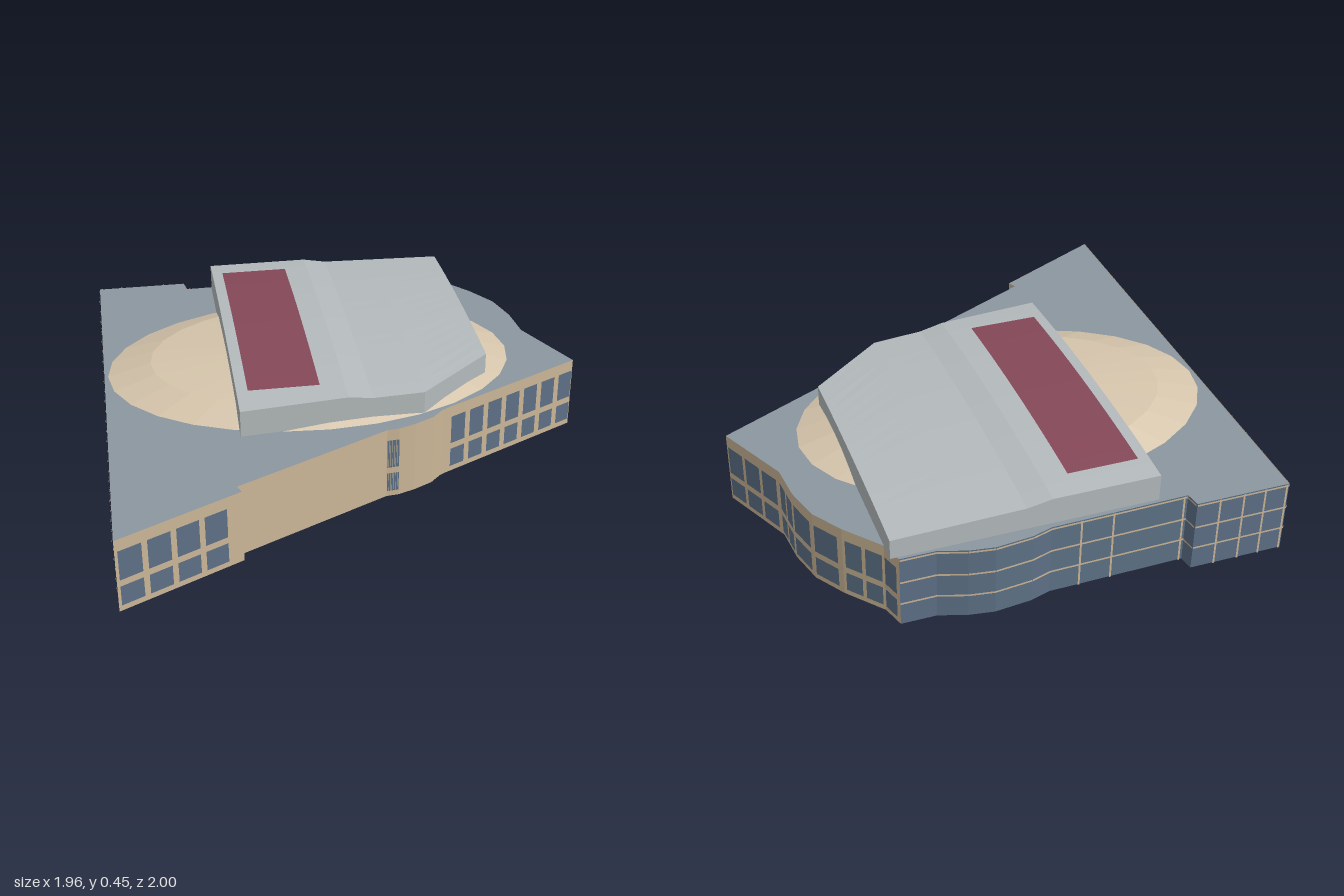
import * as THREE from 'three';

const mat = (name, color, side = THREE.FrontSide) => {
  const m = new THREE.MeshStandardMaterial({ color, side, flatShading: true });
  m.name = name;
  return m;
};
const WALL = 0.31; // wall height

// Flat-shaded geometry from a list of four-cornered faces
function quadGeometry(quads) {
  const pos = [];
  for (const [a, b, c, d] of quads) pos.push(...a, ...b, ...c, ...a, ...c, ...d);
  const g = new THREE.BufferGeometry();
  g.setAttribute('position', new THREE.Float32BufferAttribute(pos, 3));
  g.computeVertexNormals();
  return g;
}

// Upright face on the wall from a to b, between fractions t0..t1 and heights y0..y1
function wallQuad(a, b, t0, t1, y0, y1, out = 0) {
  const dx = b[0] - a[0], dz = b[1] - a[1], len = Math.hypot(dx, dz);
  const p = (t, y) => [a[0] + dx * t - dz / len * out, y, a[1] + dz * t + dx / len * out];
  return [p(t0, y0), p(t1, y0), p(t1, y1), p(t0, y1)];
}
const segments = path => path.slice(1).map((b, i) => [path[i], b]);

// Wall outline as [x, z]: masonry front and right side, then glazed back and left side
const masonryPath = [
  [-0.98, 1], [-0.505, 0.765], [-0.52, 0.73], [0.1, 0.43], [0.15, 0.425], [0.22, 0.4],
  [0.3, 0.36], [0.345, 0.315], [0.37, 0.3], [0.98, 0], [0.835, -0.3], [0.82, -0.45],
  [0.78, -0.59], [0.7, -0.71], [0.58, -0.85], [0.55, -0.94],
];
const glassPath = [
  [0.55, -0.94], [0.41, -0.94], [0.3, -0.975], [0.2, -0.99], [0.05, -0.975], [-0.03, -0.95],
  [-0.585, -0.94], [-0.595, -1], [-0.98, -1], [-0.98, 1],
];

// Canopy: plan depth and arched, stepped top
const canopyBack = -0.93;
const canopyFront = x => x <= 0.27
  ? THREE.MathUtils.mapLinear(x, -0.47, 0.27, 0.39, 0.325)
  : THREE.MathUtils.mapLinear(x, 0.27, 0.58, 0.325, 0.07);
function canopyTop(x, z) {
  const h = x < -0.04 ? 0.45
    : x < 0.06 ? THREE.MathUtils.mapLinear(x, -0.04, 0.06, 0.45, 0.432)
      : THREE.MathUtils.mapLinear(x, 0.06, 0.58, 0.432, 0.42);
  return h - 0.026 * ((z + 0.27) / 0.66) ** 2;
}

// Curved sheet following the canopy top
function topSheet(xs, z0, z1, lift, n = 16) {
  const quads = [];
  const p = (x, j) => {
    const z = z0 + (z1(x) - z0) * j / n;
    return [x, canopyTop(x, z) + lift, z];
  };
  for (const [a, b] of segments(xs))
    for (let j = 0; j < n; j++) quads.push([p(a, j + 1), p(b, j + 1), p(b, j), p(a, j)]);
  return quads;
}

function canopyQuads() {
  const xs = [-0.47, -0.04, 0.06, 0.27, 0.58], n = 16, base = WALL + 0.002;
  const quads = topSheet(xs, canopyBack, canopyFront, 0, n);
  const top = (x, z) => [x, canopyTop(x, z), z];
  const low = (x, z) => [x, base, z];
  for (const [a, b] of segments(xs)) {
    const fa = canopyFront(a), fb = canopyFront(b), k = canopyBack;
    quads.push([low(a, fa), low(b, fb), top(b, fb), top(a, fa)]); // front
    quads.push([low(b, k), low(a, k), top(a, k), top(b, k)]); // back
    quads.push([low(a, k), low(b, k), low(b, fb), low(a, fa)]); // underside
  }
  for (const x of [xs[0], xs[xs.length - 1]]) { // two sides
    for (let j = 0; j < n; j++) {
      const z = i => canopyBack + (canopyFront(x) - canopyBack) * i / n;
      const q = [low(x, z(j)), low(x, z(j + 1)), top(x, z(j + 1)), top(x, z(j))];
      quads.push(x < 0 ? q : q.reverse());
    }
  }
  return quads;
}

// Two rows of evenly spaced windows on masonry segment i
function windowQuads(i, count, t0, t1, fill) {
  const a = masonryPath[i], b = masonryPath[i + 1], quads = [];
  const pitch = (t1 - t0) / (count - 1 + fill);
  for (let k = 0; k < count; k++)
    for (const [y0, y1] of [[0.026, 0.11], [0.137, 0.263]])
      quads.push(wallQuad(a, b, t0 + k * pitch, t0 + (k + fill) * pitch, y0, y1, 0.004));
  return quads;
}

// Horizontal rails and upright bars on the glazing
function mullionQuads() {
  const quads = [], w = 0.004;
  const segs = segments(glassPath);
  for (const [a, b] of segs)
    for (const y of [0.1, 0.2, 0.304])
      quads.push(wallQuad(a, b, 0, 1, y - w, y + w, 0.004));
  const bars = (seg, axis, values) => {
    const [a, b] = segs[seg], d = b[axis] - a[axis], dt = w / Math.abs(d);
    for (const v of values) {
      const t = (v - a[axis]) / d;
      quads.push(wallQuad(a, b, t - dt, t + dt, 0, WALL, 0.004));
    }
  };
  bars(5, 0, [-0.15, -0.28, -0.57]);
  bars(7, 0, [-0.69, -0.79, -0.88, -0.97]);
  bars(8, 1, [-0.98, -0.78, -0.65, -0.53, -0.43, -0.09, 0.17, 0.55, 0.65, 0.73, 0.84]);
  return quads;
}

export function createModel() {
  const group = new THREE.Group();
  const stone = mat('tan stone', 0xcbb697, THREE.DoubleSide);
  const glass = mat('blue glass', 0x5d7186, THREE.DoubleSide);
  const roofing = mat('slate roof', 0x8c979f, THREE.DoubleSide);
  const shell = mat('dome cream', 0xd6c5ac);
  const metal = mat('canopy grey', 0xb4babc);
  const red = mat('maroon panel', 0x854858);
  const add = (name, geometry, material) => {
    const mesh = new THREE.Mesh(geometry, material);
    mesh.name = name;
    group.add(mesh);
    return mesh;
  };
  const walls = path => quadGeometry(segments(path).map(([a, b]) => wallQuad(a, b, 0, 1, 0, WALL)));

  // Walls, open underneath
  add('masonryWalls', walls(masonryPath), stone);
  add('glassWalls', walls(glassPath), glass);
  add('mullions', quadGeometry(mullionQuads()), stone);

  // Windows: segment, count, start, end, glazed share of each bay
  const bays = [
    [0, 4, 0.02, 0.87, 0.8], [3, 7, 0.02, 0.99, 0.78], [8, 7, 0.03, 0.99, 0.74],
    [9, 3, 0.04, 0.94, 0.84], [10, 2, 0.05, 0.95, 0.8], [11, 1, 0.06, 0.88, 1],
    [12, 1, 0.06, 0.85, 1], [13, 2, 0.08, 0.96, 0.82], [14, 1, 0.1, 0.85, 1],
  ];
  add('windows', quadGeometry(bays.flatMap(b => windowQuads(...b))), glass);

  // Flat roof
  const outline = [...masonryPath, ...glassPath.slice(1, -1)].map(([x, z]) => new THREE.Vector2(x, -z));
  const roof = add('flatRoof', new THREE.ShapeGeometry(new THREE.Shape(outline)), roofing);
  roof.rotation.x = -Math.PI / 2;
  roof.position.y = WALL;

  // Shallow oval dome
  const profile = [[1, 0.311], [0.79, 0.36], [0.4, 0.384], [0, 0.39]].map(p => new THREE.Vector2(...p));
  const dome = add('ovalDome', new THREE.LatheGeometry(profile, 28), shell);
  dome.scale.set(0.845, 1, 0.56);
  dome.position.set(-0.12, 0, -0.17);

  // Arched canopy with its inset panel
  add('canopy', quadGeometry(canopyQuads()), metal);
  add('canopyPanel', quadGeometry(topSheet([-0.425, -0.14], -0.82, () => 0.255, 0.004)), red);
  return group;
}
